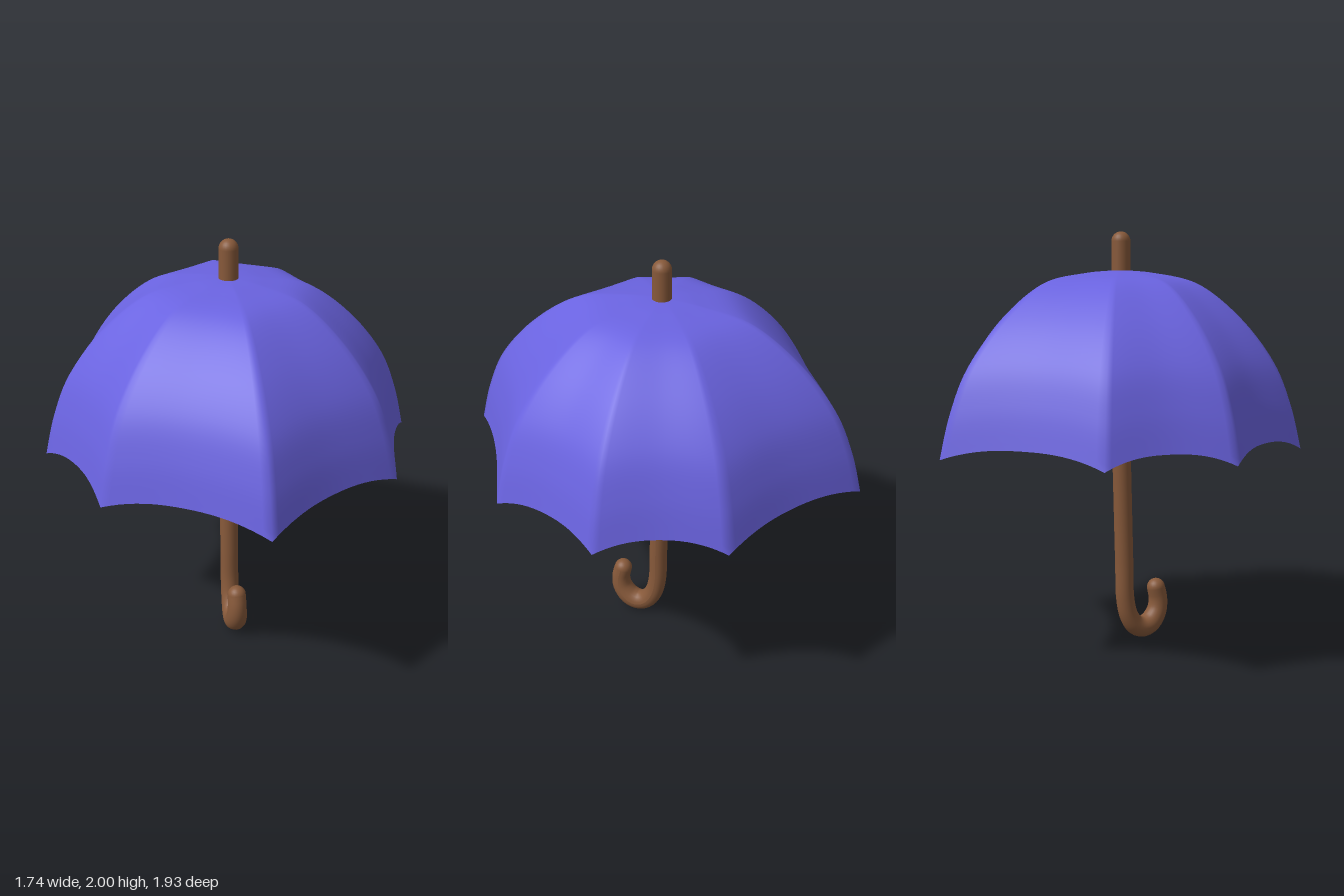
import * as THREE from 'three';

const TOP = 1.82;

// Rib outline: fraction of the rib length outwards, and height
const ribProfile = new THREE.SplineCurve([
  [0, TOP], [0.2, 1.805], [0.44, 1.755], [0.67, 1.6], [0.85, 1.4], [0.945, 1.2], [1, 1.005],
].map(([r, y]) => new THREE.Vector2(r, y)));

// Tips of the eight ribs as x, z
const ribTips = [
  [0, 0.965], [0.67, 0.55], [0.87, 0], [0.67, -0.55],
  [0, -0.965], [-0.67, -0.55], [-0.87, 0], [-0.67, 0.55],
];

// Fabric stretched between the ribs, sagging inwards and scalloped at the hem
function canopyGeometry(rows = 40, perPanel = 20) {
  const columns = ribTips.length * perPanel;
  const positions = [], index = [];
  for (let i = 0; i <= rows; i++) {
    const p = ribProfile.getPointAt(i / rows);
    for (let j = 0; j < columns; j++) {
      const panel = Math.floor(j / perPanel), u = (j % perPanel) / perPanel;
      const a = ribTips[panel], b = ribTips[(panel + 1) % ribTips.length];
      const sag = 1 - 0.035 * Math.sin(Math.PI * u);
      const arch = 1 - Math.abs(2 * u - 1) ** 2.6;
      positions.push(
        THREE.MathUtils.lerp(a[0], b[0], u) * p.x * sag,
        TOP - (TOP - p.y) * (1 - 0.072 * arch),
        THREE.MathUtils.lerp(a[1], b[1], u) * p.x * sag,
      );
      if (i < rows) {
        const n = (j + 1) % columns;
        const q = i * columns + j, r = i * columns + n;
        if (i > 0) index.push(q, r + columns, r);
        index.push(q, q + columns, r + columns);
      }
    }
  }
  const geometry = new THREE.BufferGeometry();
  geometry.setAttribute('position', new THREE.Float32BufferAttribute(positions, 3));
  geometry.setIndex(index);
  geometry.computeVertexNormals();
  return geometry;
}

export function createModel() {
  const fabric = new THREE.MeshStandardMaterial({ color: 0x6a63e0, side: THREE.DoubleSide });
  fabric.name = 'blue fabric';
  const wood = new THREE.MeshStandardMaterial({ color: 0x87593a });
  wood.name = 'brown wood';

  const model = new THREE.Group();
  model.name = 'umbrella';
  const add = (name, geometry, material, x = 0, y = 0, z = 0) => {
    const mesh = new THREE.Mesh(geometry, material);
    mesh.name = name;
    mesh.position.set(x, y, z);
    model.add(mesh);
  };

  add('canopy', canopyGeometry(), fabric);

  // Slightly leaning shaft that curls forwards into the hook
  const path = new THREE.CatmullRomCurve3([
    [1.8, 0.005], [1.4, 0.005], [1, 0.008], [0.7, 0.016], [0.4, 0.025], [0.22, 0.031],
    [0.13, 0.052], [0.073, 0.092], [0.056, 0.138], [0.073, 0.187], [0.125, 0.225],
    [0.185, 0.233], [0.245, 0.22],
  ].map(([y, z]) => new THREE.Vector3(0, y, z)));
  const shaft = new THREE.TubeGeometry(path, 120, 0.045, 24);

  // Thicken the bend of the hook
  const position = shaft.attributes.position, point = new THREE.Vector3();
  for (let i = 0; i < position.count; i++) {
    const t = Math.floor(i / 25) / 120;
    const centre = path.getPointAt(t);
    const bulge = 1 + 0.2 * Math.exp(-(((t - 0.9) / 0.055) ** 2));
    point.fromBufferAttribute(position, i).sub(centre).multiplyScalar(bulge).add(centre);
    position.setXYZ(i, point.x, point.y, point.z);
  }
  shaft.computeVertexNormals();
  add('shaftAndHook', shaft, wood);
  add('hookEnd', new THREE.SphereGeometry(0.045, 24, 16), wood, 0, 0.245, 0.22);

  // Round-ended tip above the canopy
  add('topTip', new THREE.CylinderGeometry(0.045, 0.045, 0.165, 24, 1, true), wood, 0, 1.8725, 0.005);
  add('topTipEnd', new THREE.SphereGeometry(0.045, 24, 16), wood, 0, 1.955, 0.005);

  return model;
}
